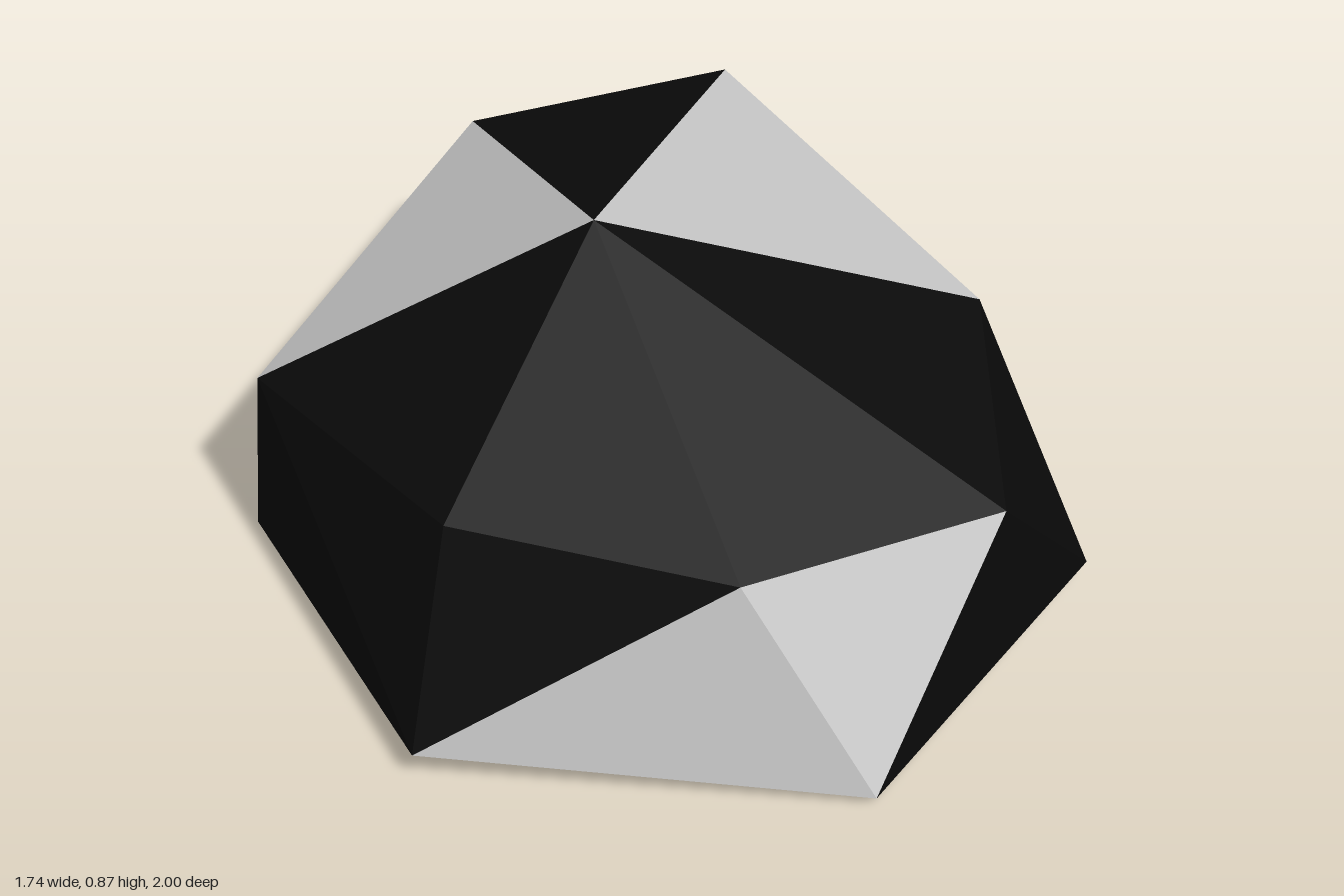
import * as THREE from 'three';

// Corners of the boulder, ring by ring
const corners = {
  A: [-0.14, 0.865, 0.305],                                                      // peak
  P: [-0.36, 0.51, 0.83], F: [0.21, 0.49, 0.92], G: [0.69, 0.455, 0.6],          // shoulder ring
  I: [0.61, 0.51, -0.01], J: [0, 0.505, -0.84], K: [-0.55, 0.445, -0.655], B: [-0.84, 0.41, 0.29],
  D: [-0.41, 0.075, 1], E: [0.48, 0.02, 0.96], H: [0.865, 0.05, 0.25],           // base ring
  N: [0.54, 0, -0.31], M: [0.33, 0.08, -0.89], L: [-0.6, 0.02, -1], C: [-0.87, 0.02, 0.28],
};

const darkFaces = {
  crown: 'APB APF AFG AGI AJK',
  sides: 'BPD PFD EGH GIH IHN IMJ JML JLK KLB LCB BCD',
  underside: 'NML NLC NCD NDE NEH',
};
const paleFaces = { topFacets: 'AIJ AKB', frontFacets: 'DFE FGE', sideFacet: 'INM' };

// Flat facets, each wound to face away from the middle of the boulder
function facets(list) {
  const middle = new THREE.Vector3(0, 0.3, 0);
  const points = [];
  for (const face of list.split(' ')) {
    const tri = [...face].map((k) => new THREE.Vector3(...corners[k]));
    const plane = new THREE.Plane().setFromCoplanarPoints(...tri);
    if (plane.distanceToPoint(middle) > 0) tri.reverse();
    points.push(...tri);
  }
  const geometry = new THREE.BufferGeometry().setFromPoints(points);
  geometry.computeVertexNormals();
  return geometry;
}

export function createModel() {
  const group = new THREE.Group();
  group.name = 'boulder';
  const dark = new THREE.MeshStandardMaterial({ color: 0x0a0a0a, flatShading: true });
  const pale = new THREE.MeshStandardMaterial({ color: 0xcccccc, flatShading: true });

  for (const [parts, material] of [[darkFaces, dark], [paleFaces, pale]]) {
    for (const [name, list] of Object.entries(parts)) {
      const mesh = new THREE.Mesh(facets(list), material);
      mesh.name = name;
      group.add(mesh);
    }
  }
  return group;
}
